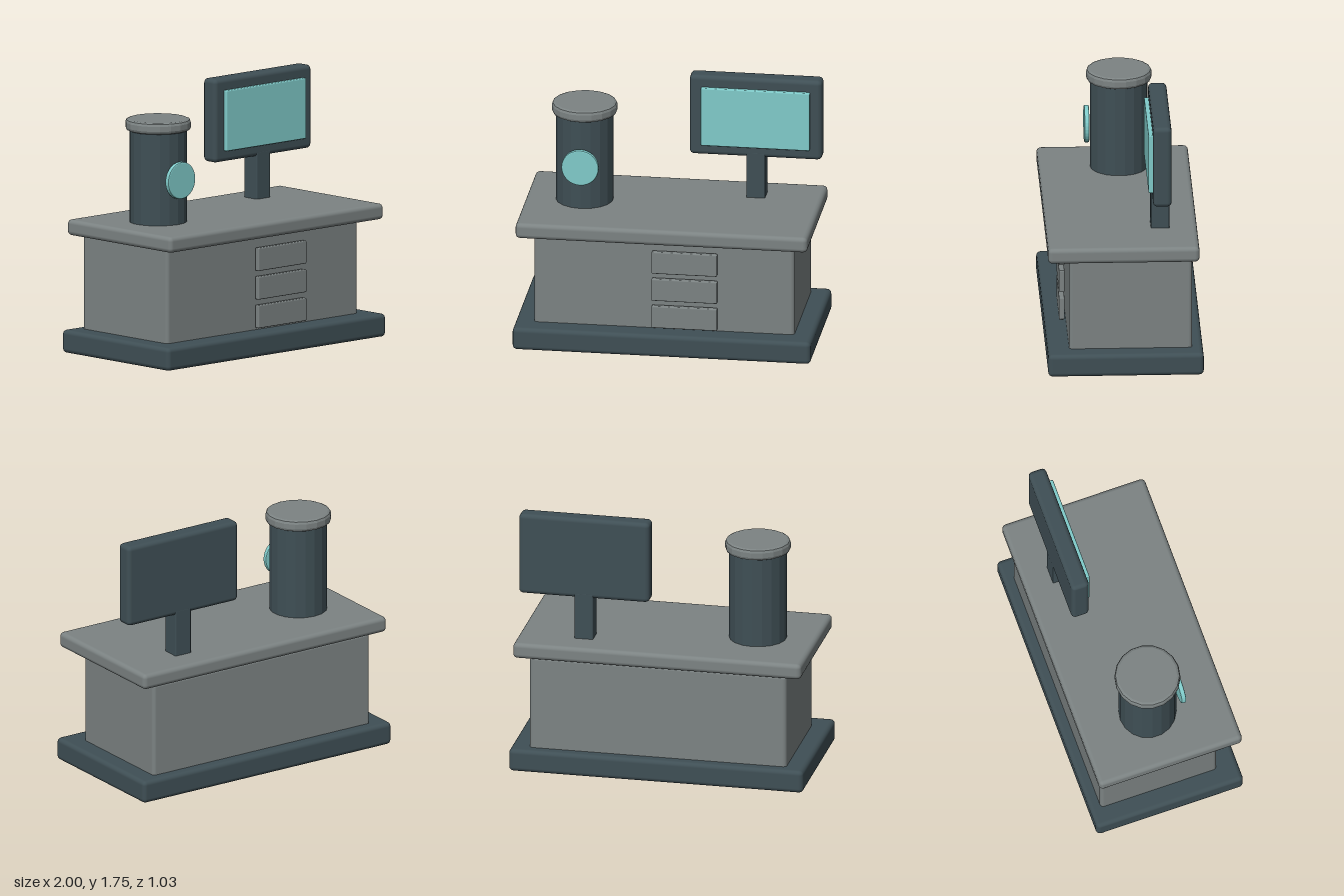
import * as THREE from 'three';
import { RoundedBoxGeometry } from 'three/addons/geometries/RoundedBoxGeometry.js';

const grey = new THREE.MeshStandardMaterial({ color: 0x7c8383 });
grey.name = 'grey panel';
const dark = new THREE.MeshStandardMaterial({ color: 0x3f4f55 });
dark.name = 'dark slate';
const cyan = new THREE.MeshStandardMaterial({ color: 0x80cbca });
cyan.name = 'pale cyan';

// Box with rounded edges, given by its [min, max] range on each axis
function block(name, material, [x0, x1], [y0, y1], [z0, z1], radius) {
  const geometry = new RoundedBoxGeometry(x1 - x0, y1 - y0, z1 - z0, 2, radius);
  const mesh = new THREE.Mesh(geometry, material);
  mesh.position.set((x0 + x1) / 2, (y0 + y1) / 2, (z0 + z1) / 2);
  mesh.name = name;
  return mesh;
}

// Upright faceted drum with bevelled rims, standing on y = 0
function drum(name, material, radius, height, bevel, sides) {
  const b = bevel * 0.3;
  const profile = [
    [0, 0], [radius - bevel, 0], [radius - b, b], [radius, bevel],
    [radius, height - bevel], [radius - b, height - b], [radius - bevel, height], [0, height],
  ].map(([x, y]) => new THREE.Vector2(x, y));
  const geometry = new THREE.LatheGeometry(profile, sides).toNonIndexed();
  geometry.computeVertexNormals();
  const mesh = new THREE.Mesh(geometry, material);
  mesh.name = name;
  return mesh;
}

export function createModel() {
  const model = new THREE.Group();
  model.name = 'serviceCounter';

  // Counter: plinth, cabinet and worktop
  model.add(
    block('plinth', dark, [-1, 1], [0, 0.155], [-0.517, 0.517], 0.03),
    block('cabinet', grey, [-0.873, 0.873], [0.12, 0.797], [-0.445, 0.373], 0.025),
    block('worktop', grey, [-0.98, 0.978], [0.793, 0.9], [-0.49, 0.517], 0.03),
  );

  // Drawer fronts, stacked
  for (let i = 0; i < 3; i++) {
    const y = 0.17 + i * 0.193;
    model.add(block('drawerFront', grey, [-0.08, 0.36], [y, y + 0.155], [0.383, 0.42], 0.008));
  }

  // Canister with lid and round dial
  const canister = new THREE.Group();
  canister.name = 'canister';
  canister.position.set(-0.588, 0.88, -0.016);
  const body = drum('canisterBody', dark, 0.192, 0.66, 0.01, 18);
  const lid = drum('canisterLid', grey, 0.219, 0.078, 0.022, 18);
  lid.position.y = 0.636;
  const dial = drum('dial', cyan, 0.125, 0.033, 0.008, 32);
  dial.rotation.x = Math.PI / 2;
  dial.position.set(0, 0.322, 0.199);
  canister.add(body, lid, dial);
  model.add(canister);

  // Display: post, casing and screen
  model.add(
    block('displayPost', dark, [0.472, 0.598], [0.88, 1.22], [-0.304, -0.181], 0.008),
    block('displayCasing', dark, [0.09, 0.978], [1.187, 1.749], [-0.304, -0.181], 0.03),
    block('screen', cyan, [0.17, 0.9], [1.262, 1.671], [-0.19, -0.153], 0.008),
  );

  return model;
}
